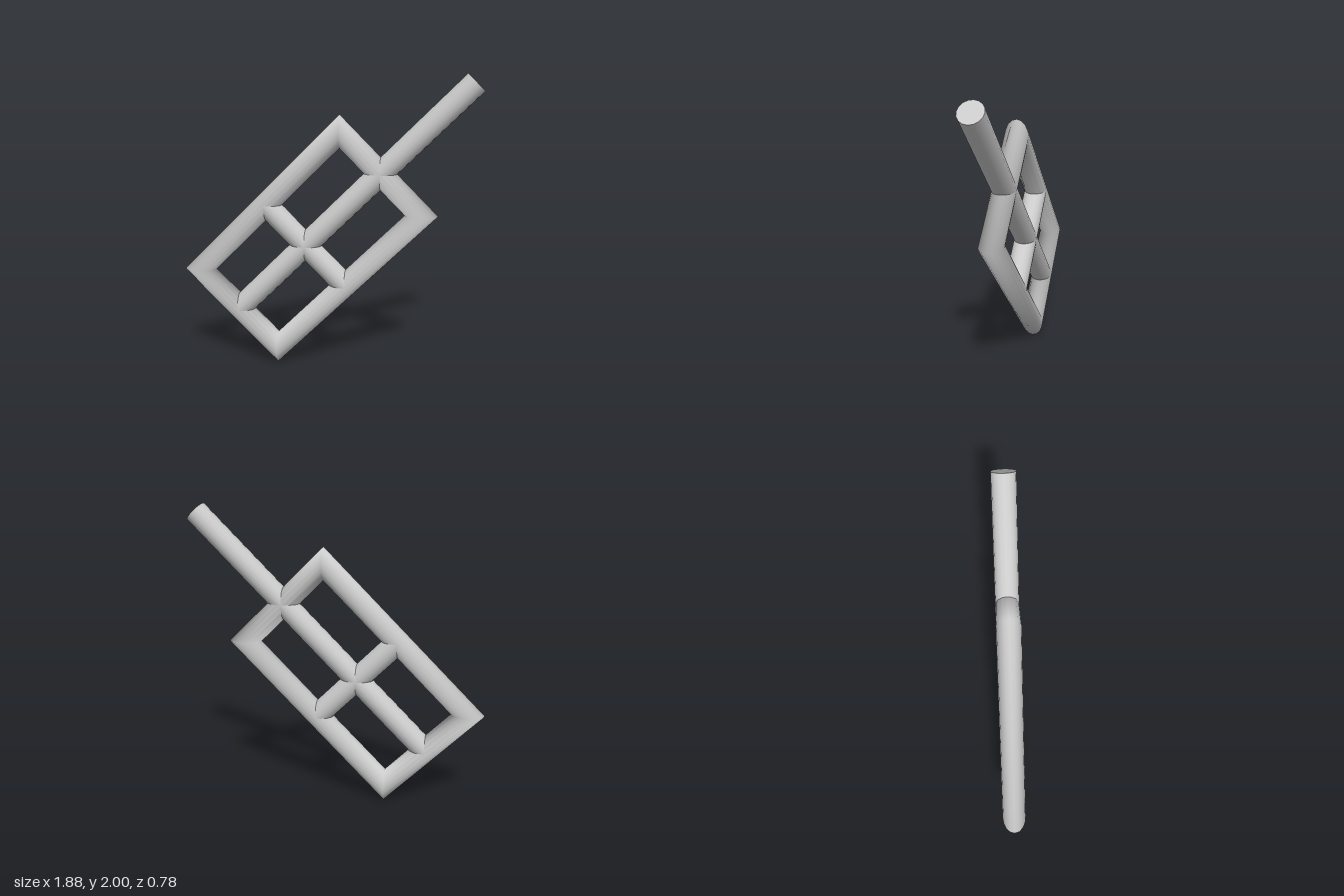
import * as THREE from 'three';

const R = 0.078;          // bar radius, shared by every part
const SIDES = 16;
const HALF_W = 0.384;     // frame centre line, half width
const HALF_L = 0.684;     // frame centre line, half length
const CROSS_Y = -0.021;   // where the cross bar sits along the frame
const HANDLE_END = 1.52;

// Closed rectangular tube with mitred corners
function frameGeometry() {
  const corners = [[1, 1], [-1, 1], [-1, -1], [1, -1]];
  const positions = [], index = [];
  corners.forEach(([sx, sy], i) => {
    for (let j = 0; j < SIDES; j++) {
      const a = (j / SIDES) * Math.PI * 2;
      const out = R * Math.cos(a);
      positions.push(sx * (HALF_W + out), sy * (HALF_L + out), R * Math.sin(a));
      const i2 = (i + 1) % 4, j2 = (j + 1) % SIDES;
      const p = i * SIDES + j, q = i2 * SIDES + j;
      const s = i * SIDES + j2, t = i2 * SIDES + j2;
      index.push(p, q, s, q, t, s);
    }
  });
  const g = new THREE.BufferGeometry();
  g.setAttribute('position', new THREE.Float32BufferAttribute(positions, 3));
  g.setIndex(index);
  g.computeVertexNormals();
  return g;
}

export function createModel() {
  const material = new THREE.MeshStandardMaterial({ color: 0xcccccc });
  const group = new THREE.Group();
  group.name = 'paddle';

  const add = (name, geometry) => {
    const mesh = new THREE.Mesh(geometry, material);
    mesh.name = name;
    group.add(mesh);
    return mesh;
  };
  // Straight round bar along y between two heights
  const bar = (name, y0, y1) => {
    const mesh = add(name, new THREE.CylinderGeometry(R, R, y1 - y0, SIDES));
    mesh.position.y = (y0 + y1) / 2;
    return mesh;
  };

  add('frame', frameGeometry());
  bar('centreBar', -HALF_L, HALF_L);
  bar('handle', HALF_L, HANDLE_END);

  // Bar across the frame, ending inside the side rails
  const cross = bar('crossBar', -HALF_W, HALF_W);
  cross.rotation.z = Math.PI / 2;
  cross.position.y = CROSS_Y;

  // Lean the paddle 45 degrees and turn it 20 degrees
  const turn = THREE.MathUtils.degToRad(-20);
  group.rotation.set(0, turn, -Math.PI / 4);
  group.position.set(-0.129, 0.87, -0.047);

  const model = new THREE.Group();
  model.name = 'model';
  model.add(group);
  return model;
}
